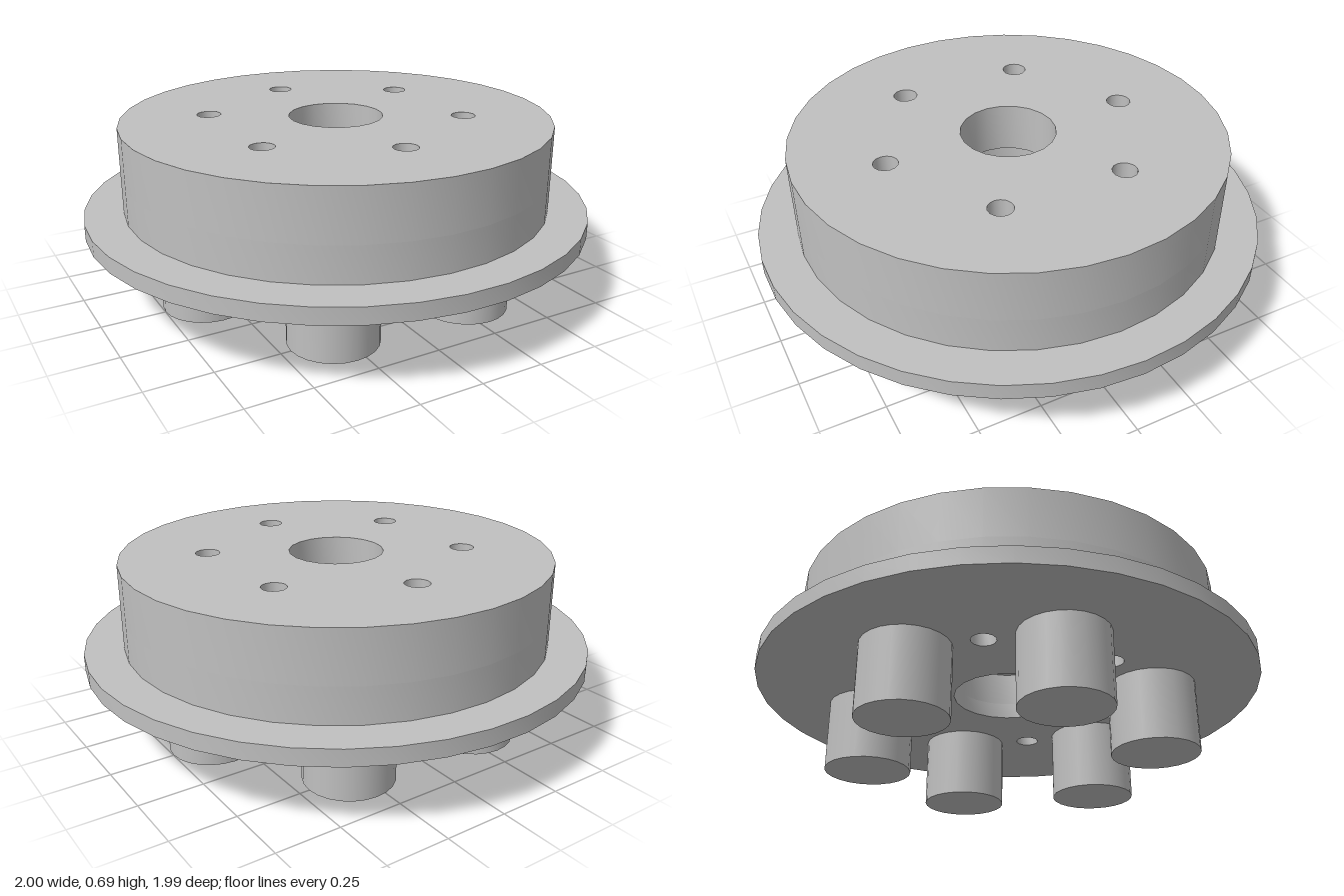
import * as THREE from 'three';
import { toCreasedNormals } from 'three/addons/utils/BufferGeometryUtils.js';

const BOLT_CIRCLE = 0.505, PEG_CIRCLE = 0.577;

// Points of a regular polygon round (cx, cy)
function ring(radius, sides, cx = 0, cy = 0) {
  return Array.from({ length: sides }, (_, i) => {
    const a = (i / sides) * Math.PI * 2;
    return new THREE.Vector2(cx + radius * Math.cos(a), cy + radius * Math.sin(a));
  });
}

// Round plate from y0 to y1 with a centre bore and six bolt holes
function drilledPlate(radius, sides, bore, y0, y1) {
  const shape = new THREE.Shape(ring(radius, sides));
  shape.holes.push(new THREE.Path(ring(bore, 20)));
  for (let i = 0; i < 6; i++) {
    const a = Math.PI / 6 + (i * Math.PI) / 3;
    shape.holes.push(new THREE.Path(
      ring(0.048, 14, BOLT_CIRCLE * Math.cos(a), BOLT_CIRCLE * Math.sin(a))));
  }
  const geo = new THREE.ExtrudeGeometry(shape, { depth: y1 - y0, bevelEnabled: false });
  geo.rotateX(-Math.PI / 2).translate(0, y0, 0);
  return toCreasedNormals(geo, 0.6);
}

export function createModel() {
  const model = new THREE.Group();
  model.name = 'peggedHub';
  const metal = new THREE.MeshStandardMaterial({ color: 0xc0c0c0 });
  metal.name = 'light grey metal';

  const add = (name, geometry) => {
    const mesh = new THREE.Mesh(geometry, metal);
    mesh.name = name;
    model.add(mesh);
    return mesh;
  };

  // Wide flange, then the hub whose bore narrows half way up
  add('flange', drilledPlate(1, 38, 0.22, 0.283, 0.347));
  add('hubLower', drilledPlate(0.848, 35, 0.22, 0.347, 0.485));
  add('hubUpper', drilledPlate(0.848, 35, 0.187, 0.485, 0.685));

  // Six drive pegs under the flange, between the bolt holes
  const pegGeometry = new THREE.CylinderGeometry(0.172, 0.172, 0.283, 24);
  for (let i = 0; i < 6; i++) {
    const a = (i * Math.PI) / 3;
    add('peg' + (i + 1), pegGeometry)
      .position.set(PEG_CIRCLE * Math.cos(a), 0.1415, PEG_CIRCLE * Math.sin(a));
  }
  return model;
}
